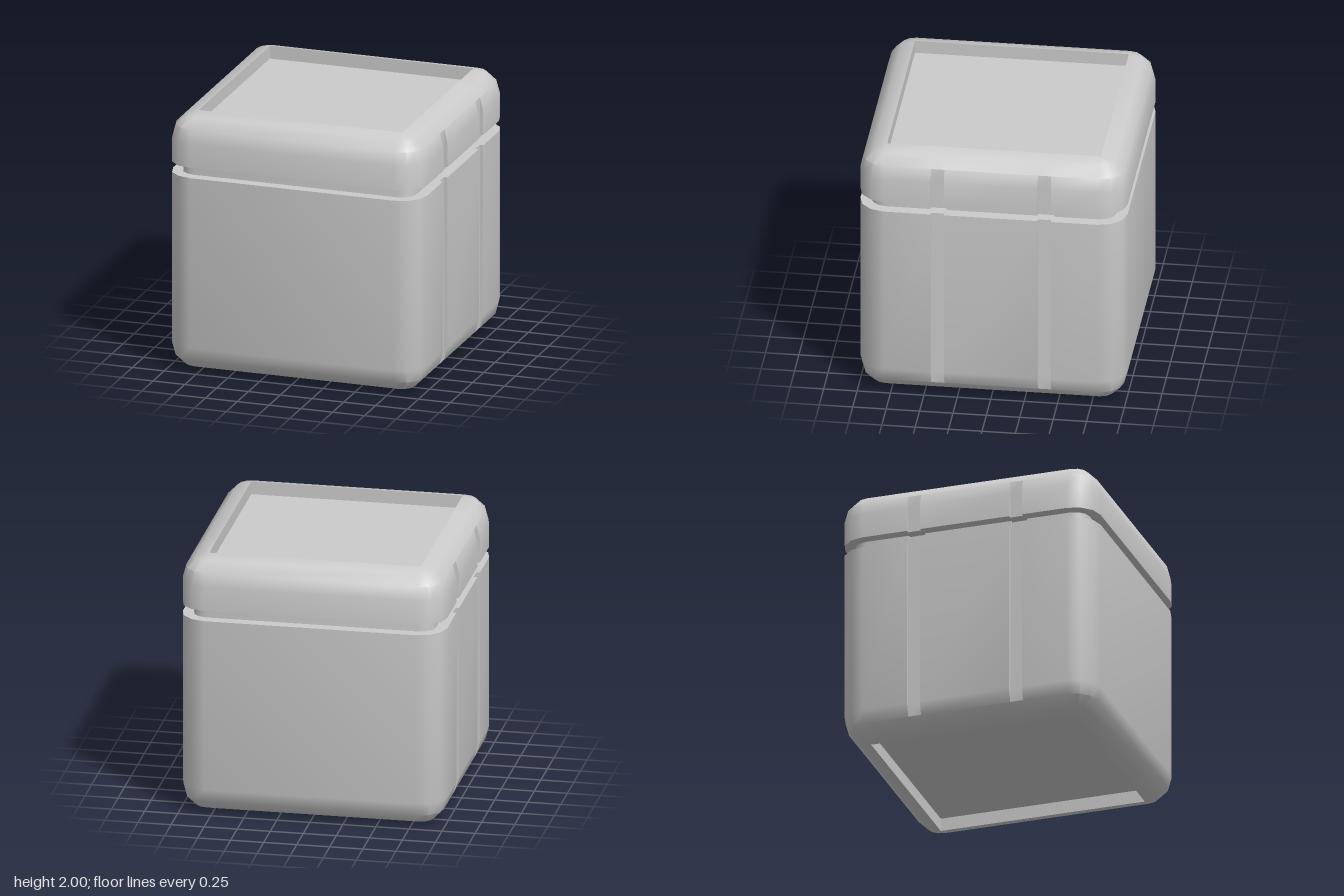
import * as THREE from 'three';
import { toCreasedNormals } from 'three/addons/utils/BufferGeometryUtils.js';

const HALF = 1, RADIUS = 0.2, STEPS = 3;
const SLOT_X = 0.8 + 0.2 * Math.cos(Math.PI / 6); // floor of the vertical slots
const material = new THREE.MeshStandardMaterial({ color: 0xcccccc });

// Rounded square outline at height y, with two slots on each of the +x and -x sides.
function ring({ y, h, r, slotX = SLOT_X, slotHalf = 0.05 }) {
  const c = h - r, n = Math.min(h, slotX), half = [];
  const angles = Array.from({ length: STEPS + 1 }, (_, i) => (i / STEPS) * Math.PI / 2);
  for (const t of angles) half.push([c + r * Math.sin(t), c + r * Math.cos(t)]);
  for (const z of [0.4, -0.4]) {
    half.push([h, z + slotHalf], [n, z + slotHalf], [n, z - slotHalf], [h, z - slotHalf]);
  }
  for (const t of angles) half.push([c + r * Math.cos(t), -c - r * Math.sin(t)]);
  return [...half, ...half.map(([x, z]) => [-x, -z])].map(([x, z]) => new THREE.Vector3(x, y, z));
}

// Skin a stack of outlines, optionally closing the first or last one.
function loft(name, sections, { capStart = false, capEnd = false } = {}) {
  const rings = sections.map(ring), pos = [], tri = new THREE.Triangle();
  const add = (a, b, c) => {
    if (tri.set(a, b, c).getArea() > 1e-7) for (const p of [a, b, c]) pos.push(p.x, p.y, p.z);
  };
  const count = rings[0].length;
  for (let i = 0; i < count; i++) {
    const j = (i + 1) % count;
    for (let k = 0; k + 1 < rings.length; k++) {
      const a = rings[k], b = rings[k + 1];
      add(a[i], a[j], b[j]);
      add(a[i], b[j], b[i]);
    }
    const first = rings[0], last = rings[rings.length - 1];
    if (capStart) add(new THREE.Vector3(0, first[0].y, 0), first[j], first[i]);
    if (capEnd) add(new THREE.Vector3(0, last[0].y, 0), last[i], last[j]);
  }
  const geometry = new THREE.BufferGeometry();
  geometry.setAttribute('position', new THREE.Float32BufferAttribute(pos, 3));
  const mesh = new THREE.Mesh(toCreasedNormals(geometry, THREE.MathUtils.degToRad(36)), material);
  mesh.name = name;
  return mesh;
}

// Rounded edge from the flat rim (0) to the full-width wall (STEPS).
function roundedEdge(toY) {
  return Array.from({ length: STEPS + 1 }, (_, i) => {
    const t = (i / STEPS) * Math.PI / 2, r = RADIUS * Math.sin(t);
    return { y: toY(RADIUS * (1 - Math.cos(t))), h: HALF - RADIUS + r, r };
  });
}

export function createModel() {
  const group = new THREE.Group();
  group.name = 'roundedBox';

  const seamLow = 1.53, seamHigh = 1.61;
  const wall = { h: HALF, r: RADIUS };
  const neck = { h: 0.915, r: 0.115, slotX: 0.89, slotHalf: 0.063 };
  const recess = { h: HALF - RADIUS, r: 0 };

  // Lower box with a recessed underside
  group.add(loft('body', [
    { ...recess, y: 0.1 },
    ...roundedEdge((d) => d),
    { ...wall, y: seamLow },
    { ...neck, y: seamLow },
  ], { capStart: true }));

  // Inset band between body and lid
  group.add(loft('neck', [{ ...neck, y: seamLow }, { ...neck, y: seamHigh }]));

  // Lid with a recessed top panel
  group.add(loft('lid', [
    { ...neck, y: seamHigh },
    { ...wall, y: seamHigh },
    ...roundedEdge((d) => 2 - d).reverse(),
    { ...recess, y: 1.9 },
  ], { capEnd: true }));

  return group;
}
